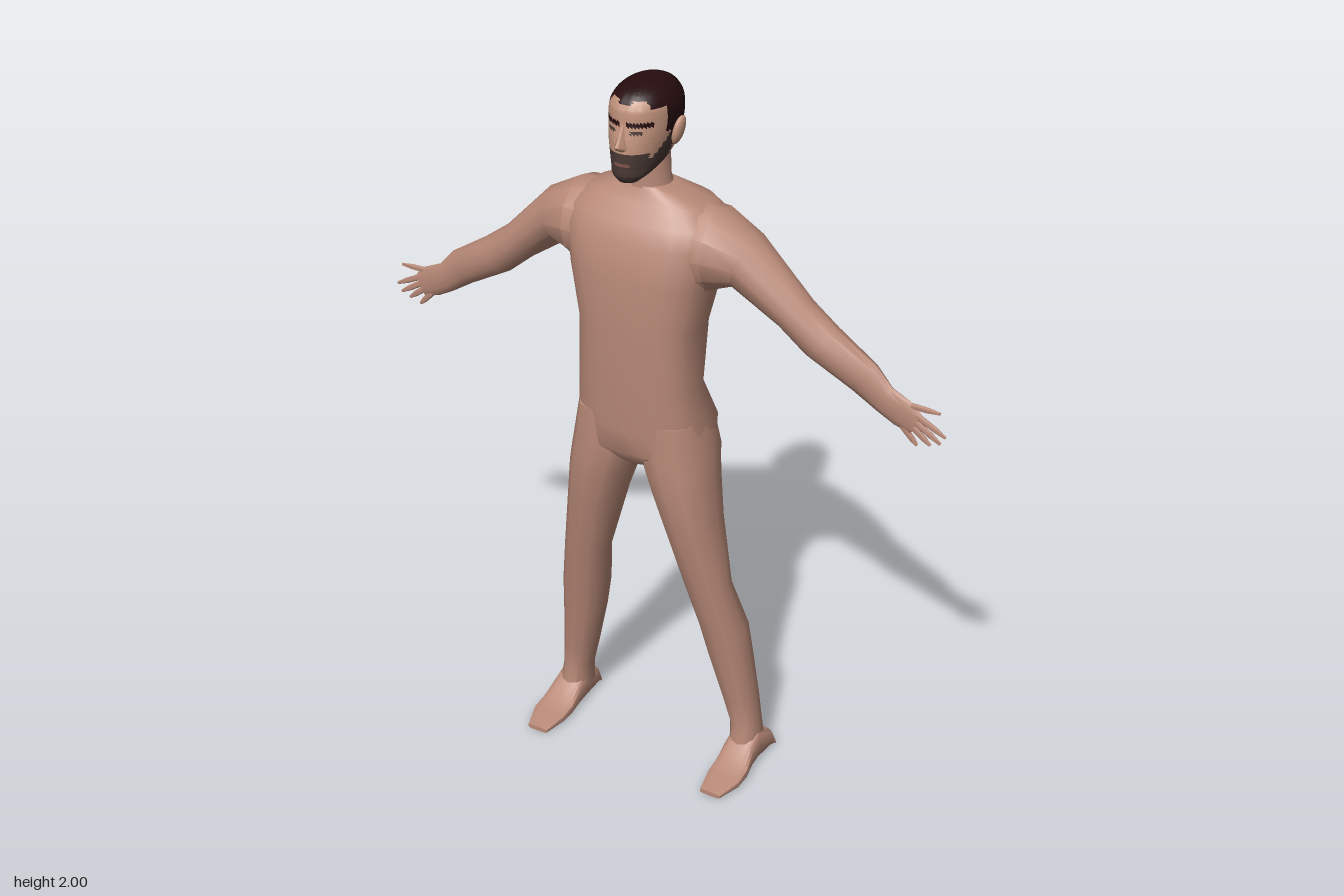
import * as THREE from 'three';
import { toCreasedNormals } from 'three/addons/utils/BufferGeometryUtils.js';

const V = (x, y, z) => new THREE.Vector3(x, y, z);
const mat = (name, color) => {
  const m = new THREE.MeshStandardMaterial({ color });
  m.name = name;
  return m;
};

// Skin over rounded cross-sections { c, u, v }; e sets how square they are.
// paint(centroid) may return a material index for each face.
function loft(sections, n = 14, e = 2, crease = 0.7, paint = null) {
  const pos = [], tris = [];
  const pw = (t) => Math.sign(t) * Math.pow(Math.abs(t), 2 / e);
  for (const { c, u, v } of sections) {
    for (let i = 0; i < n; i++) {
      const a = (i / n) * Math.PI * 2;
      const p = c.clone().addScaledVector(u, pw(Math.cos(a))).addScaledVector(v, pw(Math.sin(a)));
      pos.push(p.x, p.y, p.z);
    }
  }
  const last = sections.length - 1;
  const first = sections[0], end = sections[last], mid = sections[last >> 1];
  const dir = end.c.clone().sub(first.c);
  const flip = mid.u.clone().cross(mid.v).dot(dir) < 0;
  const tri = (a, b, c) => tris.push(flip ? [a, c, b] : [a, b, c]);
  for (let j = 0; j < last; j++) {
    for (let i = 0; i < n; i++) {
      const a = j * n + i, b = j * n + ((i + 1) % n);
      tri(a, b, b + n);
      tri(a, b + n, a + n);
    }
  }
  const bottom = pos.length / 3, top = bottom + 1;
  pos.push(...first.c.toArray(), ...end.c.toArray());
  for (let i = 0; i < n; i++) {
    const k = (i + 1) % n;
    tri(bottom, k, i);
    tri(top, last * n + i, last * n + k);
  }
  const geo = new THREE.BufferGeometry();
  geo.setAttribute('position', new THREE.Float32BufferAttribute(pos, 3));
  const buckets = [];
  for (const t of tris) {
    const m = V(0, 0, 0);
    for (const i of t) m.add(V(pos[3 * i], pos[3 * i + 1], pos[3 * i + 2]));
    const k = paint ? paint(m.divideScalar(3)) : 0;
    (buckets[k] ??= []).push(...t);
  }
  const index = [];
  buckets.forEach((b, k) => {
    if (paint) geo.addGroup(index.length, b.length, k);
    index.push(...b);
  });
  geo.setIndex(index);
  return toCreasedNormals(geo, crease);
}

// Horizontal section from x range and front/back depth
const flat = (y, x0, x1, zf, zb) => ({
  c: V((x0 + x1) / 2, y, (zf + zb) / 2), u: V((x1 - x0) / 2, 0, 0), v: V(0, 0, (zf - zb) / 2),
});

export function createModel() {
  const group = new THREE.Group();
  group.name = 'man';
  const skin = mat('skin', 0xb98a78);
  const face = mat('faceSkin', 0xc2937c);
  const hair = mat('hair', 0x260c0e);
  const beard = mat('beard', 0x483833);
  const lips = mat('lips', 0x7d5148);
  const add = (name, geo, material, parent = group) => {
    const m = new THREE.Mesh(geo, material);
    m.name = name;
    parent.add(m);
    return m;
  };

  // Torso: y, half width, front, back
  const torso = [
    [0.955, 0.07, 0.09, -0.05], [1.0, 0.185, 0.127, -0.112], [1.07, 0.182, 0.132, -0.132],
    [1.19, 0.166, 0.142, -0.066], [1.36, 0.165, 0.147, -0.1], [1.5, 0.195, 0.147, -0.128],
    [1.6, 0.215, 0.132, -0.138], [1.65, 0.21, 0.108, -0.135], [1.69, 0.165, 0.075, -0.108],
    [1.715, 0.1, 0.06, -0.075], [1.73, 0.062, 0.055, -0.055],
  ];
  add('torso', loft(torso.map(([y, w, f, b]) => flat(y, -w, w, f, b)), 24, 2.7), skin);

  // Neck
  const neck = [[1.69, 0.075, 0.06, -0.075], [1.74, 0.06, 0.056, -0.052], [1.83, 0.058, 0.062, -0.05]];
  add('neck', loft(neck.map(([y, w, f, b]) => flat(y, -w, w, f, b)), 18), skin);

  // Head: smooth curve through y, half width, front, back
  const head = [
    [1.762, 0.026, 0.122, 0.06], [1.78, 0.046, 0.133, 0.02], [1.8, 0.058, 0.134, -0.05],
    [1.83, 0.068, 0.133, -0.085], [1.87, 0.077, 0.13, -0.1], [1.91, 0.082, 0.122, -0.105],
    [1.95, 0.079, 0.118, -0.1], [1.98, 0.06, 0.092, -0.078], [1.995, 0.033, 0.05, -0.045],
    [2.0, 0.008, 0.015, -0.008],
  ];
  const outer = new THREE.CatmullRomCurve3(head.map(([y, w, f]) => V(w, y, f)), false, 'catmullrom');
  const back = new THREE.CatmullRomCurve3(head.map(([y, , , b]) => V(0, y, b)), false, 'catmullrom');
  const rings = [];
  for (let i = 0; i <= 63; i++) {
    const p = outer.getPoint(i / 63);
    rings.push(flat(Math.min(p.y, 2), -p.x, p.x, p.z, back.getPoint(i / 63).z));
  }
  const paintHead = ({ x, y, z }) => {
    const ax = Math.abs(x);
    const hairline = z > 0.085 ? (ax < 0.018 ? 1.96 : 1.968)
      : z > 0.045 ? 1.95 : z > 0.025 ? 1.885 : z > -0.02 ? 1.87 : 1.79;
    if (y > hairline) return 1;
    if (z > 0.06 && y > 1.907 && y < 1.919 && ax > 0.01 && ax < 0.065) return 1; // brows
    if (z > 0.06 && y > 1.89 && y < 1.9 && ax > 0.02 && ax < 0.045) return 2; // eyes
    if (z > 0.1 && y > 1.808 && y < 1.817 && ax < 0.022) return 3; // mouth
    const beardline = z < 0.09 ? 1.885 - (z - 0.02) * 0.95 : 1.84;
    return z > 0.005 && y < beardline ? 2 : 0;
  };
  add('head', loft(rings, 64, 2.1, 1, paintHead), [face, hair, beard, lips]);

  // Nose: y, half width, front
  const nose = [[1.845, 0.012, 0.132], [1.853, 0.018, 0.147], [1.862, 0.015, 0.153],
    [1.885, 0.009, 0.138], [1.91, 0.008, 0.124]];
  add('nose', loft(nose.map(([y, w, f]) => flat(y, -w, w, f, 0.09)), 10), face);

  for (const s of [1, -1]) {
    const side = new THREE.Group();
    side.name = s > 0 ? 'leftSide' : 'rightSide';
    group.add(side);

    // Ear
    const ear = add('ear', new THREE.SphereGeometry(1, 12, 10), face, side);
    ear.scale.set(0.012, 0.038, 0.022);
    ear.position.set(s * 0.086, 1.876, 0.002);
    ear.rotation.set(-0.2, 0, -s * 0.2);

    // Arm and palm: top x, y, bottom x, y, front, back
    const arm = [
      [0.12, 1.695, 0.13, 1.44, 0.09, -0.12], [0.2, 1.69, 0.2, 1.475, 0.1, -0.118],
      [0.3, 1.635, 0.25, 1.495, 0.066, -0.095], [0.445, 1.487, 0.37, 1.412, 0.03, -0.082],
      [0.52, 1.432, 0.445, 1.35, 0.022, -0.076], [0.63, 1.362, 0.572, 1.28, 0, -0.06],
      [0.675, 1.312, 0.635, 1.24, -0.012, -0.05], [0.73, 1.288, 0.685, 1.213, -0.018, -0.043],
      [0.757, 1.262, 0.73, 1.2, -0.023, -0.039],
    ];
    add('arm', loft(arm.map(([tx, ty, bx, by, f, b]) => ({
      c: V(s * (tx + bx) / 2, (ty + by) / 2, (f + b) / 2),
      u: V(s * (tx - bx) / 2, (ty - by) / 2, 0),
      v: V(0, 0, (f - b) / 2),
    })), 12), skin, side);

    // Fingers and thumb: base x, y, tip x, y
    const fingers = [[0.72, 1.278, 0.805, 1.277], [0.745, 1.254, 0.824, 1.215],
      [0.742, 1.236, 0.812, 1.193], [0.735, 1.22, 0.785, 1.182], [0.715, 1.208, 0.75, 1.172]];
    fingers.forEach(([ax, ay, bx, by], i) => {
      const a = V(s * ax, ay, -0.031), b = V(s * bx, by, -0.031);
      const n = V(ay - by, s * (bx - ax), 0).normalize();
      const ring = (t, r) => ({
        c: a.clone().lerp(b, t), u: n.clone().multiplyScalar(r), v: V(0, 0, r * 0.85),
      });
      add(i ? 'finger' : 'thumb', loft([ring(-0.2, 0.009), ring(0.6, 0.008), ring(1, 0.004)], 8), skin, side);
    });

    // Leg: y, inner x, outer x, front, back
    const leg = [
      [1.1, 0.02, 0.176, 0.125, -0.1], [1.0, 0.006, 0.196, 0.128, -0.116],
      [0.95, 0.018, 0.203, 0.127, -0.1], [0.9, 0.036, 0.21, 0.124, -0.088],
      [0.8, 0.07, 0.221, 0.11, -0.073], [0.6, 0.125, 0.252, 0.068, -0.052],
      [0.45, 0.155, 0.284, 0.035, -0.098], [0.35, 0.176, 0.294, 0.016, -0.107],
      [0.2, 0.214, 0.309, -0.01, -0.116], [0.12, 0.235, 0.316, -0.02, -0.119],
      [0.04, 0.24, 0.326, -0.005, -0.132],
    ];
    add('leg', loft(leg.map(([y, a, b, f, k]) => flat(y, s * a, s * b, f, k)), 12, 2.3), skin, side);

    // Foot: z, height, inner x, outer x
    const foot = [[-0.149, 0.015, 0.25, 0.332], [-0.13, 0.065, 0.246, 0.33], [-0.06, 0.1, 0.24, 0.328],
      [-0.015, 0.074, 0.238, 0.33], [0.03, 0.036, 0.236, 0.338], [0.08, 0.026, 0.237, 0.338],
      [0.147, 0.014, 0.252, 0.315]];
    add('foot', loft(foot.map(([z, h, a, b]) => ({
      c: V(s * (a + b) / 2, h / 2, z), u: V((b - a) / 2, 0, 0), v: V(0, h / 2, 0),
    })), 16, 3.5), skin, side);
  }
  return group;
}
